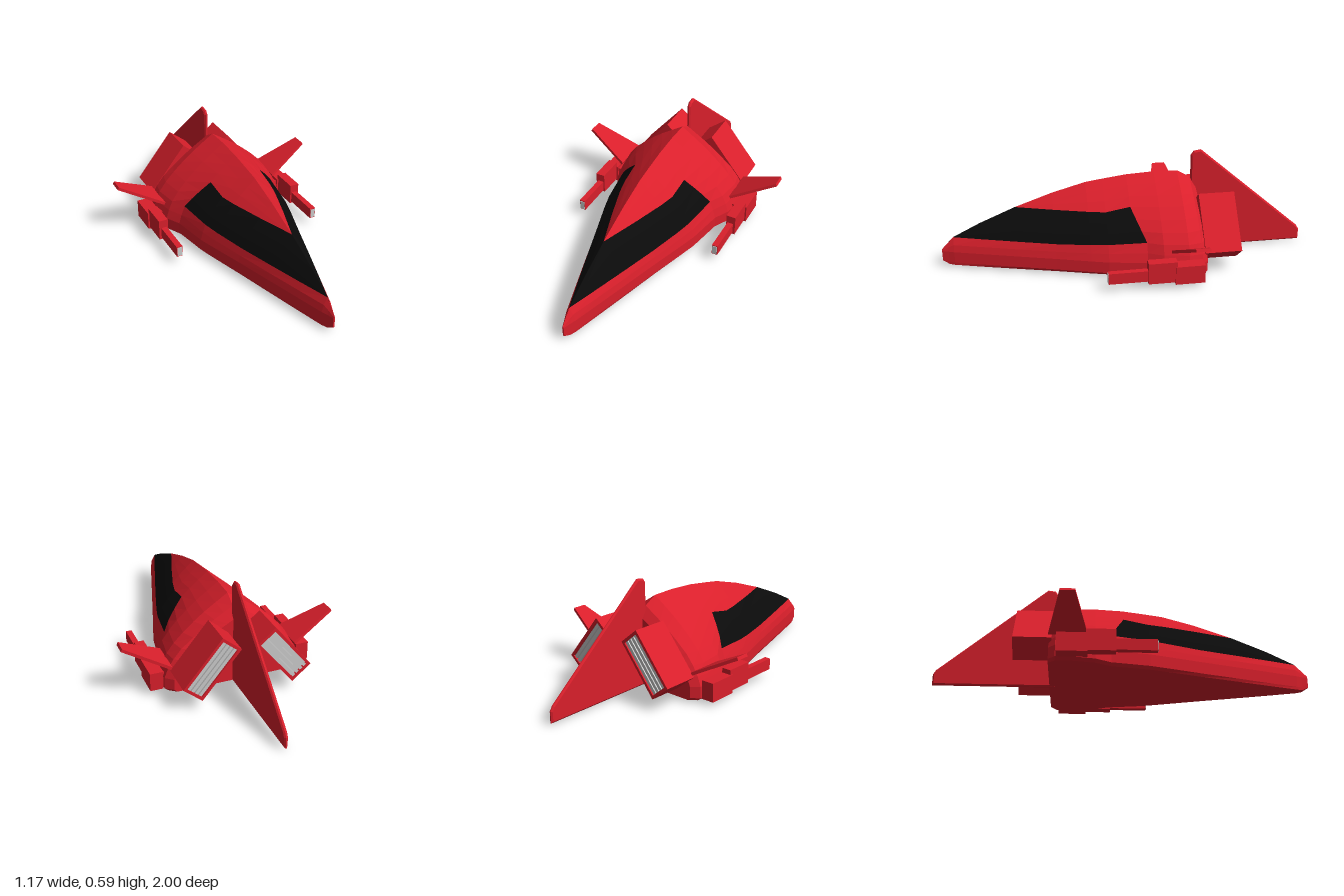
import * as THREE from 'three';

const red = new THREE.MeshStandardMaterial({ color: 0xd91f2b, flatShading: true });
const black = new THREE.MeshStandardMaterial({ color: 0x0b0b0b, flatShading: true });
const grey = new THREE.MeshStandardMaterial({ color: 0xcccccc, flatShading: true });

function add(parent, name, geometry, material = red) {
  const mesh = new THREE.Mesh(geometry, material);
  mesh.name = name;
  parent.add(mesh);
  return mesh;
}

// Box given by its min and max corners
function box(x0, x1, y0, y1, z0, z1) {
  return new THREE.BoxGeometry(Math.abs(x1 - x0), y1 - y0, z1 - z0)
    .translate((x0 + x1) / 2, (y0 + y1) / 2, (z0 + z1) / 2);
}

const shapeOf = pts => new THREE.Shape(pts.map(p => new THREE.Vector2(...p)));

// Piecewise linear lookup, keys ascending
function lookup(table, k) {
  for (let i = 1; i < table.length; i++) {
    const [a, va] = table[i - 1], [b, vb] = table[i];
    if (k <= b) return THREE.MathUtils.lerp(va, vb, THREE.MathUtils.clamp((k - a) / (b - a), 0, 1));
  }
  return table[table.length - 1][1];
}

// Hull stations: z, half width, ridge height, underside height
const stations = [
  [1, 0.004, 0.1, 0.035], [0.965, 0.016, 0.137, 0.015], [0.935, 0.028, 0.168, 0.013],
  [0.79, 0.072, 0.24, 0.012], [0.6, 0.13, 0.32, 0.012], [0.4, 0.19, 0.39, 0.012],
  [0.22, 0.247, 0.44, 0.012], [0.13, 0.274, 0.453, 0.012], [0, 0.31, 0.47, 0.012],
  [-0.15, 0.352, 0.478, 0.012], [-0.28, 0.375, 0.475, 0.012],
  [-0.35, 0.37, 0.435, 0.012], [-0.385, 0.33, 0.38, 0.015],
];
const roundness = [[0, 1], [0.22, 0.92], [0.45, 0.74], [0.68, 0.47], [0.8, 0.31], [1, 0]];
const bandLow = [[-0.07, 0.19], [0.35, 0.167]];
const bandHigh = [[0, 0.345], [0.13, 0.32]];
const CANOPY_END = 8, BAND_ROW = 6;

// Half cross-section, from the keel up to the ridge
function section([z, w, ridge, under], index) {
  const low = Math.min(lookup(bandLow, index === CANOPY_END ? -0.07 : z), ridge);
  const high = Math.min(lookup(bandHigh, z), ridge);
  const belly = z < 0.6 && z > -0.3 ? 0 : under;
  const shoulder = Math.min(0.09, ridge);
  const rows = [[0, belly], [w * 0.55, belly], [w * 0.95, under], [w, under + 0.015], [w, shoulder]];
  for (const y of [(shoulder + low) / 2, low, (low * 2 + high) / 3, (low + high * 2) / 3, high,
    (high * 2 + ridge) / 3, (high + ridge * 2) / 3, ridge]) {
    rows.push([w * lookup(roundness, (y - 0.09) / Math.max(ridge - 0.09, 0.001)), y]);
  }
  // The rear edge of the canopy leans forward
  return rows.map(([x, y]) => {
    const lean = index === CANOPY_END ? -0.07 * THREE.MathUtils.clamp((high - y) / (high - low), 0, 1) : 0;
    return new THREE.Vector3(x, y, z + lean);
  });
}

function buildHull(group) {
  const sections = stations.map(section);
  const hull = [], canopy = [];
  const flip = p => new THREE.Vector3(-p.x, p.y, p.z);
  const tri = (out, a, b, c) => {
    if (new THREE.Triangle(a, b, c).getArea() > 1e-7) out.push(a, b, c);
  };
  const quad = (out, a, b, c, d) => { tri(out, a, b, c); tri(out, a, c, d); };
  const last = sections.length - 1, rows = sections[0].length;
  for (let j = 0; j < rows - 1; j++) {
    for (let i = 0; i < last; i++) {
      const isCanopy = j >= BAND_ROW && j < BAND_ROW + 3 && i < CANOPY_END;
      const out = isCanopy ? canopy : hull;
      const a = sections[i][j], b = sections[i + 1][j], c = sections[i + 1][j + 1], d = sections[i][j + 1];
      quad(out, a, b, c, d);
      quad(out, flip(d), flip(c), flip(b), flip(a));
    }
    // Nose and tail caps
    const n = sections[0], t = sections[last];
    quad(hull, flip(n[j]), n[j], n[j + 1], flip(n[j + 1]));
    quad(hull, t[j], flip(t[j]), flip(t[j + 1]), t[j + 1]);
  }
  for (const [name, pts, mat] of [['hull', hull, red], ['canopy', canopy, black]]) {
    const geo = new THREE.BufferGeometry().setFromPoints(pts);
    geo.computeVertexNormals();
    add(group, name, geo, mat);
  }
}

function buildFin(group) {
  const outline = shapeOf([[-0.355, 0.01], [-0.355, 0.56], [-0.37, 0.582], [-0.41, 0.588],
    [-0.985, 0.095], [-1, 0.07], [-1, 0.01]]);
  const geo = new THREE.ExtrudeGeometry(outline, {
    depth: 0.006, bevelThickness: 0.007, bevelSize: 0.008, bevelOffset: -0.008, bevelSegments: 1,
  });
  add(group, 'tailFin', geo.rotateY(-Math.PI / 2).translate(0.003, 0, 0));
}

// Slanted engine box with a recessed slatted exhaust
function buildEngine(group, side) {
  const engine = new THREE.Group();
  engine.name = 'engine';
  const w = 0.162, h = 0.065, rim = 0.015;
  const rect = (x, y) => [[-x, -y], [x, -y], [x, y], [-x, y]];
  const frame = shapeOf(rect(w, h));
  frame.holes.push(shapeOf(rect(w - rim, h - rim)));
  add(engine, 'engineHousing', new THREE.ExtrudeGeometry(frame, { depth: 0.195, bevelEnabled: false })
    .translate(0, 0, -0.565));
  add(engine, 'engineFront', box(-w + rim, w - rim, -h + rim, h - rim, -0.4, -0.371));
  add(engine, 'exhaustPlate', box(-w + rim, w - rim, -h + rim, h - rim, -0.545, -0.53), grey);
  for (let i = 0; i < 4; i++) {
    const y = -0.0375 + i * 0.025;
    add(engine, 'exhaustSlat', box(-w + rim, w - rim, y - 0.009, y + 0.009, -0.56, -0.54), grey);
  }
  engine.position.set(side * 0.1925, 0.224, 0);
  engine.rotation.z = -side * 0.884;
  group.add(engine);
}

function buildWing(group, side) {
  const outline = shapeOf([[0, -0.388], [0.27, -0.33], [0.27, -0.255], [0, -0.188]].map(([u, z]) => [side * u, z]));
  const geo = new THREE.ExtrudeGeometry(outline, { depth: 0.016, bevelEnabled: false });
  geo.translate(0, 0, -0.008).rotateX(Math.PI / 2).rotateZ(side * 0.48).translate(side * 0.342, 0.162, 0);
  add(group, 'wing', geo);
}

function buildGun(group, side) {
  const gun = new THREE.Group();
  gun.name = 'gun';
  const part = (name, x0, x1, y0, y1, z0, z1, mat) =>
    add(gun, name, box(side * x0, side * x1, y0, y1, z0, z1), mat);
  part('gunMount', 0.33, 0.39, 0.04, 0.11, -0.33, -0.2);
  part('gunRearHousing', 0.375, 0.445, 0.025, 0.125, -0.345, -0.19);
  part('gunHousing', 0.385, 0.437, 0.035, 0.15, -0.2, -0.05);
  part('gunBarrel', 0.393, 0.425, 0.045, 0.105, -0.06, 0.155);
  part('gunMuzzle', 0.396, 0.422, 0.05, 0.1, 0.15, 0.158, grey);
  group.add(gun);
}

export function createModel() {
  const group = new THREE.Group();
  group.name = 'spacecraft';
  buildHull(group);
  buildFin(group);
  for (const side of [1, -1]) {
    buildEngine(group, side);
    buildWing(group, side);
    buildGun(group, side);
  }
  return group;
}
